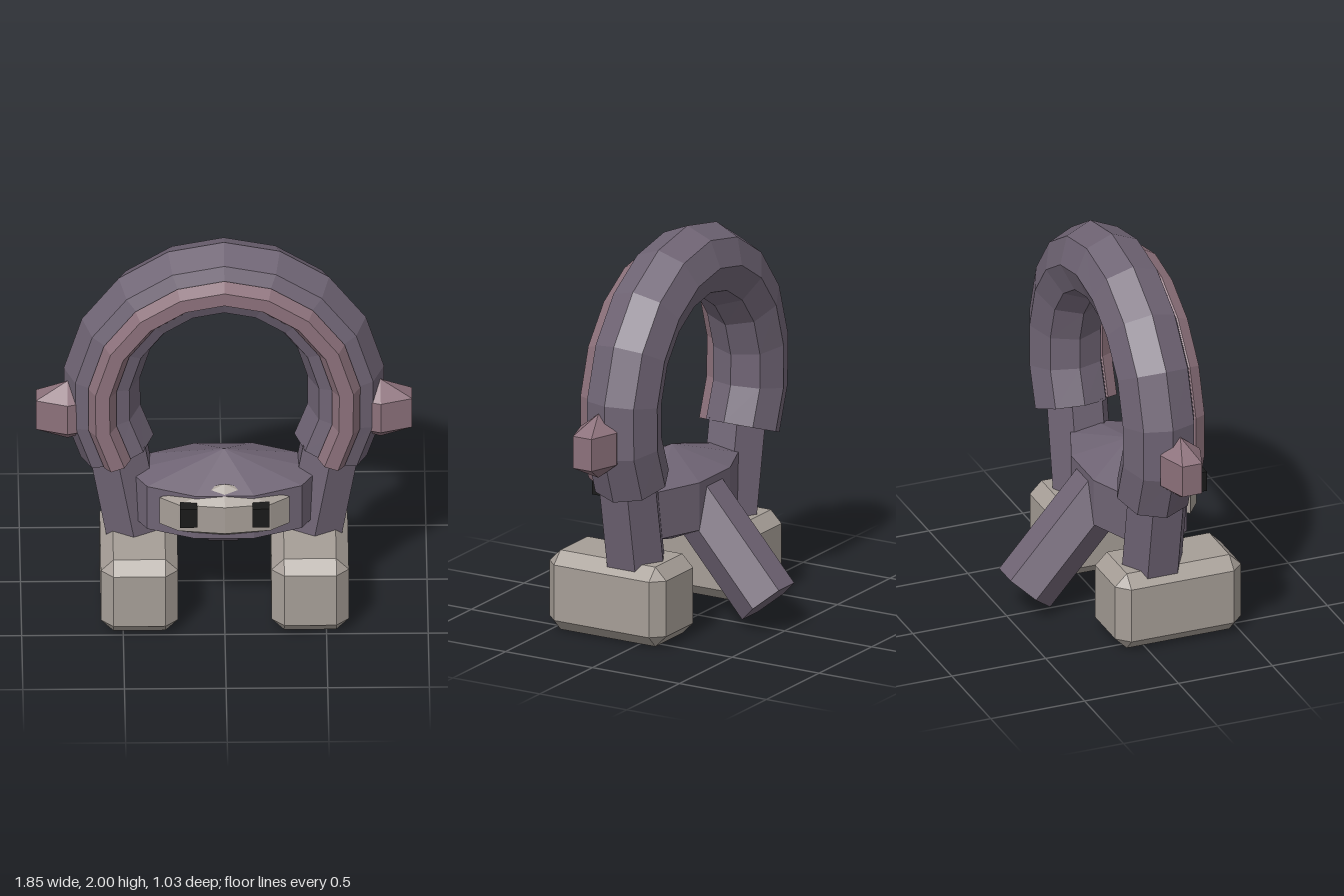
import * as THREE from 'three';
import { ConvexGeometry } from 'three/addons/geometries/ConvexGeometry.js';

const mat = (color) => new THREE.MeshStandardMaterial({ color, flatShading: true });

// Sweep a regular polygon along a path in the xy plane, with closed ends
function sweep(path, z, radius, sides) {
  const pos = [], index = [], last = path.length - 1;
  path.forEach((p, i) => {
    const t = path[Math.min(i + 1, last)].clone().sub(path[Math.max(i - 1, 0)]).normalize();
    for (let j = 0; j < sides; j++) {
      const a = (j / sides) * Math.PI * 2, r = radius * Math.cos(a);
      pos.push(p.x - t.y * r, p.y + t.x * r, z + radius * Math.sin(a));
    }
  });
  for (let i = 0; i < last; i++) {
    for (let j = 0; j < sides; j++) {
      const k = (j + 1) % sides, a = i * sides, b = a + sides;
      index.push(a + j, a + k, b + k, a + j, b + k, b + j);
    }
  }
  const e = last * sides;
  for (let j = 1; j < sides - 1; j++) index.push(0, j + 1, j, e, e + j, e + j + 1);
  const g = new THREE.BufferGeometry();
  g.setAttribute('position', new THREE.Float32BufferAttribute(pos, 3));
  g.setIndex(index);
  g.computeVertexNormals();
  return g;
}

// Faceted bead: a straight band with a shallow cone above and below
function bead(sides, rx, ry, rz, turn = 0) {
  return new THREE.SphereGeometry(1, sides, 3).rotateY(turn).scale(rx / 0.866, ry, rz / 0.866);
}

// Box with all edges and corners cut
function chamferBox(w, h, d, c) {
  const pts = [];
  for (const x of [-1, 1]) for (const y of [-1, 1]) for (const z of [-1, 1]) {
    for (let axis = 0; axis < 3; axis++) {
      const s = [w / 2, h / 2, d / 2].map((v, i) => (i === axis ? v : v - c));
      pts.push(new THREE.Vector3(x * s[0], y * s[1], z * s[2]));
    }
  }
  return new ConvexGeometry(pts);
}

export function createModel() {
  const model = new THREE.Group();
  const purple = mat(0x6f6474), pink = mat(0x8c717b), stone = mat(0xa69e97), black = mat(0x1a1a1a);
  const add = (name, geometry, material, x = 0, y = 0, z = 0) => {
    const mesh = new THREE.Mesh(geometry, material);
    mesh.name = name;
    mesh.position.set(x, y, z);
    model.add(mesh);
    return mesh;
  };
  // Six-sided rod between two points
  const rod = (name, from, to, r) => {
    const dir = to.clone().sub(from);
    const mesh = add(name, new THREE.CylinderGeometry(r, r, dir.length(), 6), purple);
    mesh.position.copy(from).add(to).multiplyScalar(0.5);
    mesh.quaternion.setFromUnitVectors(new THREE.Vector3(0, 1, 0), dir.normalize());
    return mesh;
  };

  // Horseshoe arch and the stripe along its front
  const half = [[0.205, 1.77], [0.39, 1.655], [0.53, 1.475], [0.6, 1.25], [0.598, 1.03], [0.525, 0.825]];
  const path = [
    ...half.map(([x, y]) => new THREE.Vector2(-x, y)).reverse(),
    new THREE.Vector2(0, 1.81),
    ...half.map(([x, y]) => new THREE.Vector2(x, y)),
  ];
  add('arch', sweep(path, 0.06, 0.19, 8), purple);
  add('archStripe', sweep(path, 0.23, 0.07, 6), pink);

  // Body and face plate
  add('body', bead(10, 0.47, 0.245, 0.26), purple, 0, 0.615, 0.15);
  add('facePlate', bead(8, 0.32, 0.15, 0.1), stone, 0, 0.625, 0.345);

  // Tail sloping down behind, with a ridge on each side
  const tail = rod('tail', new THREE.Vector3(0, 0.61, 0.01), new THREE.Vector3(0, 0.137, -0.405), 0.157);
  tail.geometry.rotateY(Math.PI / 2).scale(0.94, 1, 1.03);

  // Paired parts
  for (const [side, s] of [['left', 1], ['right', -1]]) {
    add(side + 'Eye', new THREE.BoxGeometry(0.085, 0.105, 0.07), black, s * 0.178, 0.657, 0.44);
    add(side + 'Stud', bead(6, 0.179, 0.165, 0.105, Math.PI / 6), pink, s * 0.77, 1.065, 0.105);
    rod(side + 'Leg', new THREE.Vector3(s * 0.44, 0.38, 0.09), new THREE.Vector3(s * 0.525, 0.86, 0.09), 0.16);
    add(side + 'Foot', chamferBox(0.38, 0.41, 0.67, 0.062), stone, s * 0.42, 0.205, 0.185);
  }
  return model;
}
